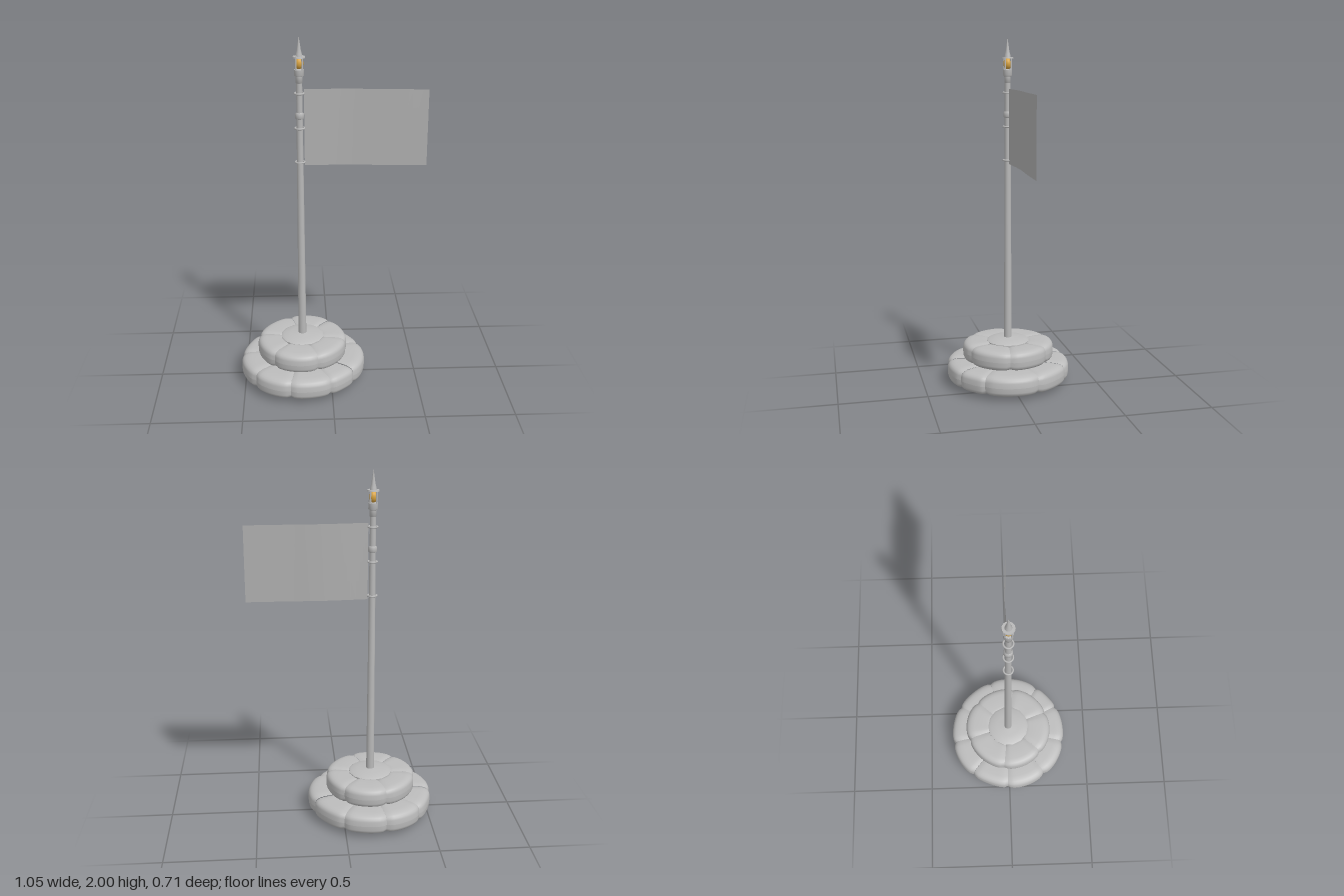
import * as THREE from 'three';

const stone = new THREE.MeshStandardMaterial({ color: 0xbcbcbc });
stone.name = 'stoneGrey';
const metal = new THREE.MeshStandardMaterial({ color: 0xb8b8b8 });
metal.name = 'metalGrey';
const cloth = new THREE.MeshStandardMaterial({ color: 0xb0b0b0, side: THREE.DoubleSide });
cloth.name = 'clothGrey';
const amber = new THREE.MeshStandardMaterial({ color: 0xd9a441 });
amber.name = 'amberGlass';

const POLE_X = -0.165;

function add(parent, name, geometry, material, x = 0, y = 0, z = 0) {
  const mesh = new THREE.Mesh(geometry, material);
  mesh.name = name;
  mesh.position.set(x, y, z);
  parent.add(mesh);
  return mesh;
}

const lathe = (points, sides = 16) =>
  new THREE.LatheGeometry(points.map(([r, y]) => new THREE.Vector2(r, y)), sides);

// One pillow-shaped stone: a rounded section swept from angle a to b, pinched at both ends
function stoneGeometry(a, b, inner, outer, y0, y1, wobble) {
  const geo = new THREE.PlaneGeometry(1, 1, 12, 28);
  const p = geo.attributes.position;
  const soft = (c) => Math.sign(c) * Math.pow(Math.abs(c), 0.55);
  for (let i = 0; i < p.count; i++) {
    const u = p.getX(i) + 0.5;
    const phi = (p.getY(i) + 0.5) * Math.PI * 2;
    const t = a + (b - a) * u;
    const pinch = 1 - 0.12 * Math.pow(Math.abs(2 * u - 1), 7);
    const bulge = wobble * Math.sin(Math.PI * u);
    const half = (outer - inner) / 2;
    const r = (outer + inner) / 2 + half * soft(Math.cos(phi)) * pinch + bulge * Math.max(0, Math.cos(phi));
    const y = (y0 + y1) / 2 + ((y1 - y0) / 2) * soft(Math.sin(phi)) * pinch;
    p.setXYZ(i, r * Math.cos(t), y, -r * Math.sin(t));
  }
  geo.computeVertexNormals();
  return geo;
}

// Ring of stones with joints at the given angles (degrees, ascending)
function stoneRing(name, joints, inner, outer, y0, y1) {
  const ring = new THREE.Group();
  ring.name = name;
  joints.forEach((d, i) => {
    const next = i + 1 < joints.length ? joints[i + 1] : joints[0] + 360;
    const wobble = 0.006 * Math.sin(i * 2.3 + 1);
    const geo = stoneGeometry(THREE.MathUtils.degToRad(d), THREE.MathUtils.degToRad(next),
      inner, outer, y0, y1 + wobble * 0.4, wobble);
    add(ring, 'baseStone' + (i + 1), geo, stone);
  });
  return ring;
}

export function createModel() {
  const model = new THREE.Group();
  model.name = 'bannerPole';
  const post = new THREE.Group();
  post.name = 'post';
  post.position.x = POLE_X;
  model.add(post);

  // Stepped stone base
  post.add(stoneRing('lowerStoneRing', [-141, -102, -63, -34, 18, 60, 100, 139, 178], 0.15, 0.358, 0.018, 0.14));
  post.add(stoneRing('upperStoneRing', [-130, -70, -9, 49, 106, 173], 0.09, 0.26, 0.135, 0.25));
  add(post, 'footing', new THREE.CylinderGeometry(0.175, 0.175, 0.12, 14), stone, 0, 0.06);
  add(post, 'baseDome', lathe([[0.125, 0.13], [0.125, 0.25], [0.125, 0.25], [0.11, 0.258],
    [0.07, 0.265], [0, 0.27]], 14), stone);

  // Tapered pole
  add(post, 'pole', new THREE.CylinderGeometry(0.016, 0.023, 1.51, 16), metal, 0, 1.005);
  add(post, 'poleCollar', lathe([[0.016, 1.555], [0.024, 1.56], [0.024, 1.585], [0.016, 1.592]]), metal);

  // Rings that hold the banner
  for (const y of [1.315, 1.505, 1.695]) {
    const ring = add(post, 'bannerRing', new THREE.TorusGeometry(0.025, 0.005, 8, 20), metal, 0, y);
    ring.rotation.x = Math.PI / 2;
  }

  // Lantern: cup, glass, corner posts, lid and spike
  add(post, 'lanternCup', lathe([[0, 1.745], [0.018, 1.75], [0.018, 1.785], [0.018, 1.785],
    [0.026, 1.79], [0.026, 1.822], [0.026, 1.822], [0, 1.826]]), metal);
  const glass = add(post, 'lanternGlass', new THREE.SphereGeometry(0.024, 16, 12), amber, 0, 1.855);
  glass.scale.y = 1.3;
  for (let i = 0; i < 4; i++) {
    const t = Math.PI / 4 + (i * Math.PI) / 2;
    add(post, 'lanternPost', new THREE.CylinderGeometry(0.005, 0.005, 0.068, 8), metal,
      0.024 * Math.cos(t), 1.854, 0.024 * Math.sin(t));
  }
  add(post, 'lanternLid', new THREE.CylinderGeometry(0.032, 0.034, 0.008, 16), metal, 0, 1.888);
  add(post, 'spike', lathe([[0.019, 1.89], [0.016, 1.905], [0.011, 1.925], [0.006, 1.96], [0, 2]], 12), metal);

  // Gently waving banner
  const curve = new THREE.CatmullRomCurve3([
    [-0.14, 0, -0.003], [0.1, -0.002, -0.011], [0.3, -0.004, -0.001], [0.525, -0.006, 0.006],
  ].map((c) => new THREE.Vector3(...c)));
  const banner = new THREE.PlaneGeometry(1, 0.422, 24, 4);
  const p = banner.attributes.position;
  for (let i = 0; i < p.count; i++) {
    const c = curve.getPoint(p.getX(i) + 0.5);
    p.setXYZ(i, c.x, p.getY(i) + c.y, c.z);
  }
  banner.computeVertexNormals();
  add(model, 'banner', banner, cloth, 0, 1.506);

  return model;
}
